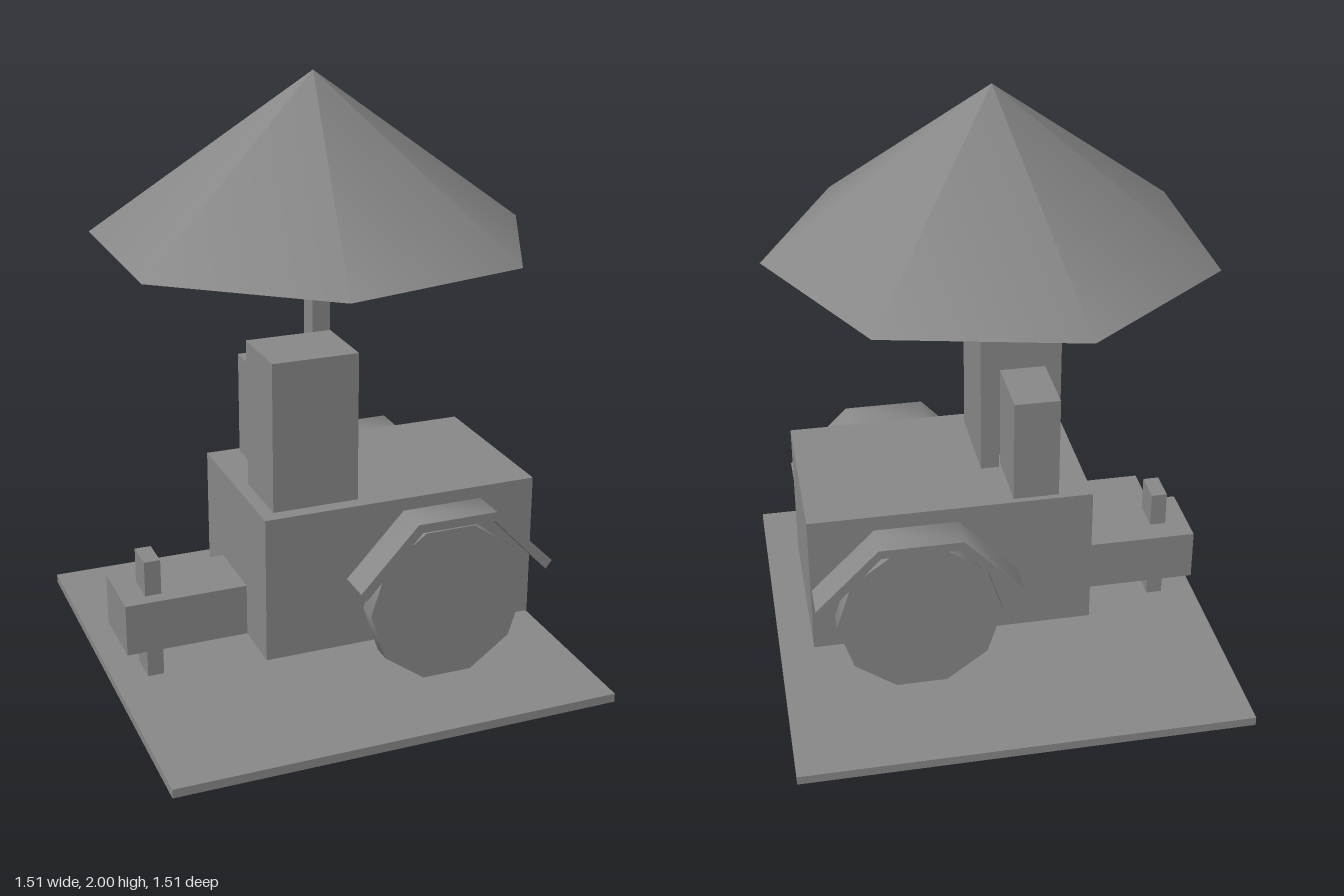
import * as THREE from 'three';
import { toCreasedNormals } from 'three/addons/utils/BufferGeometryUtils.js';

const material = new THREE.MeshStandardMaterial({ color: 0x888888 });

function add(group, name, geometry) {
  const mesh = new THREE.Mesh(geometry, material);
  mesh.name = name;
  group.add(mesh);
  return mesh;
}

// Box given by its extents on each axis
function addBox(group, name, [x0, x1], [y0, y1], [z0, z1]) {
  const mesh = add(group, name, new THREE.BoxGeometry(x1 - x0, y1 - y0, z1 - z0));
  mesh.position.set((x0 + x1) / 2, (y0 + y1) / 2, (z0 + z1) / 2);
  return mesh;
}

// Bent strip over a wheel, smooth along its bends and sharp at its edges
function fenderGeometry(depth) {
  const outline = [
    [-0.04, 0.414], [-0.02, 0.387], [0.172, 0.594], [0.427, 0.594],
    [0.623, 0.387], [0.645, 0.414], [0.434, 0.624], [0.157, 0.624],
  ].map(([x, y]) => new THREE.Vector2(x, y));
  const strip = new THREE.ExtrudeGeometry(new THREE.Shape(outline), { depth, bevelEnabled: false });
  return toCreasedNormals(strip, Math.PI / 3);
}

export function createModel() {
  const cart = new THREE.Group();
  cart.name = 'umbrellaCart';

  // Ground plate
  addBox(cart, 'basePlate', [-0.755, 0.755], [0, 0.03], [-0.755, 0.755]);

  // Body with the hitch and its post at the -x end
  addBox(cart, 'body', [-0.305, 0.647], [0.15, 0.648], [-0.267, 0.334]);
  addBox(cart, 'hitch', [-0.72, -0.305], [0.15, 0.328], [-0.107, 0.14]);
  addBox(cart, 'hitchPost', [-0.64, -0.585], [0.03, 0.45], [-0.022, 0.091]);

  // Boxes on top of the body
  addBox(cart, 'tallBox', [-0.26, 0.032], [0.648, 1.152], [0.038, 0.285]);
  addBox(cart, 'shortBox', [-0.193, -0.04], [0.648, 1.005], [-0.246, -0.008]);

  // Umbrella: pole and seven-sided canopy with a corner towards +x
  addBox(cart, 'pole', [-0.03, 0.032], [0.648, 1.463], [-0.041, 0.038]);
  const canopy = add(cart, 'canopy',
    new THREE.ConeGeometry(0.735, 0.537, 7, 1, false, Math.PI / 2));
  canopy.position.set(-0.01, 1.7315, -0.007);

  // Ten-sided wheels and fenders on both sides
  const wheelGeometry = new THREE.CylinderGeometry(0.278, 0.278, 0.066, 10, 1, false, Math.PI / 2);
  wheelGeometry.rotateX(Math.PI / 2);
  const fender = fenderGeometry(0.12);
  const sides = [
    { name: 'front', wheelZ: 0.404, fenderZ: 0.372 },
    { name: 'back', wheelZ: -0.339, fenderZ: -0.428 },
  ];
  for (const { name, wheelZ, fenderZ } of sides) {
    add(cart, `${name}Wheel`, wheelGeometry).position.set(0.297, 0.297, wheelZ);
    add(cart, `${name}Fender`, fender).position.z = fenderZ;
  }

  return cart;
}
